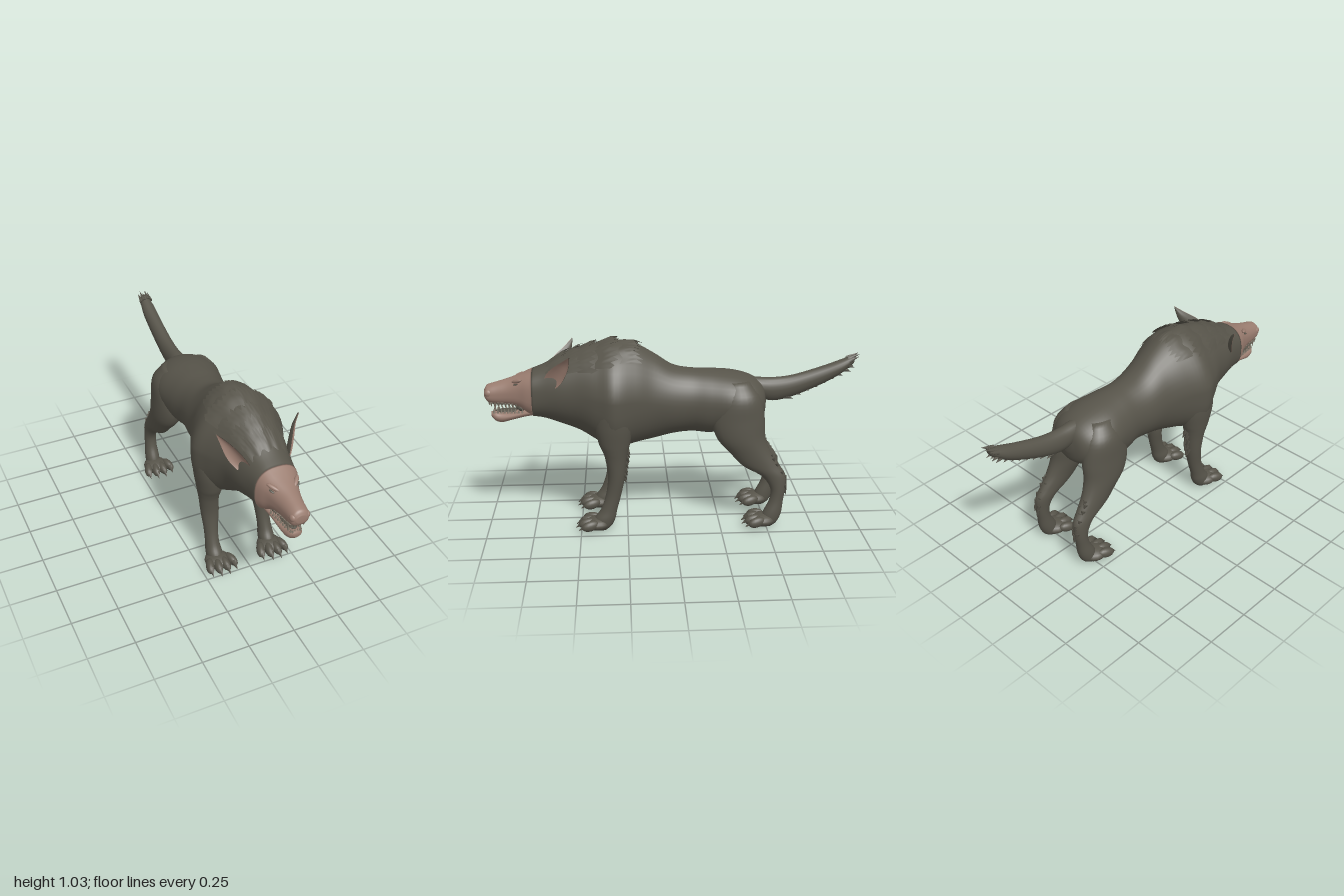
import * as THREE from 'three';

const V = (x, y, z) => new THREE.Vector3(x, y, z);
const mat = (name, color) => {
  const m = new THREE.MeshStandardMaterial({ color, side: THREE.DoubleSide });
  m.name = name;
  return m;
};

// Smooth station curves: rows are [t, centreX, centre, radiusX, radius, lower squareness, upper squareness]
function stations(rows) {
  const curve = (f) => new THREE.CatmullRomCurve3(rows.map(f), false, 'catmullrom', 0.5);
  const c = curve((r) => V(r[0], r[1], r[2]));
  const q = curve((r) => V(r[3], r[4], 0));
  const k = curve((r) => V(r[5] || 0, r[6] || 0, 0));
  return (u) => ({ c: c.getPoint(u), r: q.getPoint(u), k: k.getPoint(u) });
}

// Point of a rounded section at angle a, as [x, other axis]
function around({ c, r, k }, a, lift = 0) {
  const p = 1 - (Math.sin(a) < 0 ? k.x : k.y);
  const bend = (v) => Math.sign(v) * Math.pow(Math.abs(v), p);
  return [c.y + (Math.max(r.x, 0.001) + lift) * bend(Math.cos(a)), c.z + (Math.max(r.y, 0.001) + lift) * bend(Math.sin(a))];
}

// Closed tube of rounded sections stacked along 'z' or 'y'
function loft(axis, rows, sides = 28, sub = 5) {
  const at = stations(rows), n = (rows.length - 1) * sub, pos = [], idx = [];
  const put = (t, x, o) => (axis === 'z' ? pos.push(x, o, t) : pos.push(x, t, o));
  for (let i = 0; i <= n; i++) {
    const st = at(i / n);
    for (let j = 0; j < sides; j++) put(st.c.x, ...around(st, (j / sides) * Math.PI * 2));
  }
  for (const u of [0, 1]) { const { c } = at(u); put(c.x, c.y, c.z); }
  const end = (n + 1) * sides;
  for (let j = 0; j < sides; j++) {
    const k = (j + 1) % sides;
    for (let i = 0; i < n; i++) {
      const a = i * sides + j, b = i * sides + k;
      idx.push(a, b, a + sides, b, b + sides, a + sides);
    }
    idx.push(end, k, j, end + 1, n * sides + j, n * sides + k);
  }
  // turn the faces outward whatever the axis
  if (axis === 'y') idx.reverse();
  if (rows[0][0] > rows[rows.length - 1][0]) idx.reverse();
  return toGeometry(pos, idx);
}

function toGeometry(pos, idx) {
  const g = new THREE.BufferGeometry();
  g.setAttribute('position', new THREE.Float32BufferAttribute(pos, 3));
  g.setIndex(idx);
  g.computeVertexNormals();
  return g;
}

// Open sheet from f(i, j) -> Vector3
function sheet(ni, nj, f) {
  const pos = [], idx = [];
  for (let i = 0; i <= ni; i++) for (let j = 0; j <= nj; j++) pos.push(...f(i, j).toArray());
  for (let i = 0; i < ni; i++) for (let j = 0; j < nj; j++) {
    const a = i * (nj + 1) + j, b = a + nj + 1;
    idx.push(a, b, a + 1, a + 1, b, b + 1);
  }
  return toGeometry(pos, idx);
}

// [z, top, bottom, halfWidth, squareness...] -> station row
const span = ([z, top, bottom, w, ...sq]) => [z, 0, (top + bottom) / 2, w, (top - bottom) / 2, ...sq];

export function createModel() {
  const root = new THREE.Group();
  const fur = mat('darkFur', 0x57544a), skin = mat('bareSkin', 0x9a7d70), tooth = mat('teeth', 0x7d7467);
  const add = (name, geo, m) => {
    const mesh = new THREE.Mesh(geo, m);
    mesh.name = name;
    root.add(mesh);
    return mesh;
  };
  const spike = (name, p, dir, len, r, m) => {
    const d = dir.clone().normalize();
    const mesh = add(name, new THREE.ConeGeometry(r, len, 6), m);
    mesh.position.copy(p).addScaledVector(d, len / 2);
    mesh.quaternion.setFromUnitVectors(V(0, 1, 0), d);
  };
  const blob = (name, p, sx, sy, sz, m) => {
    const mesh = add(name, new THREE.SphereGeometry(1, 16, 12), m);
    mesh.position.copy(p);
    mesh.scale.set(sx, sy, sz);
    return mesh;
  };

  // Trunk, neck and skull
  const bodyRows = [
    [-0.5, 0.70, 0.64, 0.03], [-0.48, 0.765, 0.575, 0.11], [-0.42, 0.81, 0.54, 0.165], [-0.32, 0.838, 0.52, 0.187],
    [-0.2, 0.85, 0.505, 0.165, 0.1], [-0.1, 0.855, 0.51, 0.148], [0, 0.875, 0.50, 0.155], [0.1, 0.94, 0.475, 0.168, 0, -0.1],
    [0.2, 0.995, 0.46, 0.208, 0.15, -0.18], [0.31, 1.015, 0.445, 0.25, 0.3, -0.2], [0.4, 0.998, 0.478, 0.217, 0.2, -0.18],
    [0.5, 0.97, 0.53, 0.172, 0, -0.05], [0.6, 0.93, 0.57, 0.147], [0.68, 0.89, 0.60, 0.125, 0.1, 0.1], [0.745, 0.862, 0.613, 0.113, 0.2, 0.2],
  ].map(span);
  add('body', loft('z', bodyRows, 40), fur);

  // Mane: overlapping collars with ragged rear edges
  const bodyAt = stations(bodyRows);
  const onBody = (z, a, lift) => {
    let lo = 0, hi = 1;
    for (let k = 0; k < 24; k++) {
      const m = (lo + hi) / 2;
      if (bodyAt(m).c.x < z) lo = m; else hi = m;
    }
    return V(...around(bodyAt(lo), Math.PI / 2 - a, lift), z);
  };
  [[0.19, 0.75], [0.31, 0.85], [0.42, 0.95], [0.5, 0.95], [0.57, 0.75]].forEach(([zTip, half], row) => {
    const n = 32;
    add('maneCollar', sheet(n, 3, (i, j) => {
      const a = (i / n * 2 - 1) * half;
      const jag = i % 2 ? -0.014 - 0.012 * Math.abs(Math.sin(i * 2.3 + row)) : 0.01;
      const z = zTip + [0.1, 0.06, 0.03, jag][j] + 0.01 * Math.sin(i * 0.8 + row * 2);
      return onBody(z, a, [-0.004, 0.007, 0.012, 0.018][j] * (1 - 0.4 * Math.abs(a) / half));
    }), fur);
  });

  // Tail with ragged underside and tip
  add('tail', loft('z', [
    [-0.36, 0.80, 0.70, 0.035], [-0.45, 0.80, 0.69, 0.045], [-0.54, 0.797, 0.668, 0.043], [-0.65, 0.81, 0.692, 0.042],
    [-0.8, 0.853, 0.755, 0.04], [-0.9, 0.888, 0.81, 0.038], [-0.97, 0.914, 0.868, 0.025],
  ].map(span), 20), fur);
  for (let i = 0; i < 16; i++) {
    const t = i / 15;
    for (const s of [-1, 1])
      spike('tailTuft', V(s * 0.016, 0.695 + 0.155 * t + 0.01 * (i % 2), -0.6 - 0.33 * t), V(s * 0.1, -0.25, -1), 0.05, 0.014, fur);
  }
  for (let i = 0; i < 5; i++)
    spike('tailTip', V((i - 2) * 0.012, 0.885 + 0.008 * (i % 2), -0.94), V((i - 2) * 0.05, 0.5, -1), 0.06 + 0.008 * (i % 2), 0.015, fur);

  // Face, muzzle and lower jaw
  add('face', loft('z', [
    [0.742, 0.865, 0.612, 0.115, 0.2, 0.2], [0.775, 0.85, 0.637, 0.101, 0.3, 0.2], [0.815, 0.834, 0.664, 0.081, 0.3, 0.15],
    [0.87, 0.815, 0.676, 0.064, 0.3], [0.92, 0.80, 0.68, 0.055, 0.3], [0.965, 0.787, 0.687, 0.05, 0.3],
    [0.985, 0.778, 0.696, 0.044, 0.2], [0.997, 0.757, 0.716, 0.028],
  ].map(span), 36), skin);
  add('lowerJaw', loft('z', [
    [0.74, 0.67, 0.616, 0.072], [0.8, 0.652, 0.603, 0.059], [0.86, 0.638, 0.587, 0.051], [0.91, 0.634, 0.574, 0.044],
    [0.945, 0.637, 0.583, 0.036], [0.966, 0.632, 0.606, 0.018],
  ].map(span), 24), skin);
  blob('throat', V(0, 0.658, 0.8), 0.05, 0.024, 0.035, fur);
  blob('palate', V(0, 0.684, 0.89), 0.042, 0.008, 0.085, fur);
  blob('tongue', V(0, 0.638, 0.87), 0.032, 0.008, 0.075, fur);

  for (const s of [-1, 1]) {
    // Slanted brow ridge, narrow eye and nose wing
    const brow = blob('brow', V(s * 0.06, 0.813, 0.82), 0.036, 0.011, 0.012, skin);
    brow.rotation.set(0, s * 0.9, s * 0.3);
    const eye = blob('eye', V(s * 0.069, 0.797, 0.826), 0.016, 0.004, 0.007, fur);
    eye.rotation.set(0, s * 0.95, s * 0.3);
    blob('nostrilWing', V(s * 0.034, 0.742, 0.972), 0.018, 0.022, 0.022, skin);

    // Teeth along both jaws
    for (let i = 0; i < 9; i++) {
      const t = i / 8, z = 0.81 + 0.15 * t, big = i === 7 ? 1.7 : 1;
      spike('upperTooth', V(s * (0.06 - 0.022 * t), 0.69 + 0.005 * t, z), V(0, -1, 0), 0.028 * big, 0.008, tooth);
      spike('lowerTooth', V(s * (0.052 - 0.026 * t), 0.635 - 0.005 * t, z - 0.012), V(0, 1, 0), 0.023 * big, 0.007, tooth);
    }
    for (const x of [0.01, 0.026]) {
      spike('frontTooth', V(s * x, 0.703, 0.972), V(0, -1, 0), 0.03, 0.008, tooth);
      spike('lowerFrontTooth', V(s * x * 0.7, 0.622, 0.953), V(0, 1, 0), 0.026, 0.007, tooth);
    }

    // Ears: cupped leaves, bare inside and furred behind
    const earPath = new THREE.CatmullRomCurve3([V(0.122, 0.81, 0.645), V(0.144, 0.848, 0.62), V(0.165, 0.887, 0.592),
      V(0.189, 0.93, 0.56), V(0.22, 0.975, 0.537)]);
    const ear = (push) => sheet(14, 8, (i, j) => {
      const t = i / 14, k = j / 4 - 1;
      const w = 0.055 * Math.pow(Math.sin(Math.PI * (0.25 + 0.75 * t)), 0.9) * (1 - 0.35 * t) + 0.001;
      const p = earPath.getPoint(t).addScaledVector(V(0.54, -0.38, -0.75), k * w);
      p.addScaledVector(V(-0.72, -0.12, -0.68), (1 - k * k) * w * 0.4 + push * (1 - k * k * 0.6));
      p.x *= s;
      return p;
    });
    add('earInside', ear(0), skin);
    add('earBack', ear(0.006), fur);

    // Legs: rows are [y, x, z, radiusX, radiusZ]
    const leg = (name, rows) => add(name, loft('y', rows.map(([y, x, z, a, b]) => [y, s * x, z, a, b]).reverse(), 24), fur);
    leg('frontLeg', [
      [0.8, 0.12, 0.315, 0.04, 0.05], [0.7, 0.152, 0.315, 0.084, 0.085], [0.6, 0.157, 0.316, 0.082, 0.1],
      [0.5, 0.157, 0.315, 0.069, 0.084], [0.45, 0.156, 0.311, 0.062, 0.068], [0.4, 0.157, 0.308, 0.053, 0.056],
      [0.3, 0.151, 0.308, 0.049, 0.045], [0.2, 0.153, 0.325, 0.038, 0.041], [0.12, 0.156, 0.35, 0.037, 0.044],
      [0.07, 0.156, 0.372, 0.043, 0.056], [0.03, 0.156, 0.385, 0.04, 0.05], [0.005, 0.156, 0.39, 0.025, 0.028],
    ]);
    leg('hindLeg', [
      [0.8, 0.09, -0.34, 0.04, 0.06], [0.72, 0.108, -0.35, 0.08, 0.11], [0.6, 0.115, -0.345, 0.083, 0.14],
      [0.5, 0.126, -0.36, 0.074, 0.13], [0.42, 0.135, -0.41, 0.058, 0.11], [0.35, 0.14, -0.466, 0.047, 0.1],
      [0.29, 0.145, -0.535, 0.039, 0.066], [0.22, 0.15, -0.56, 0.034, 0.041], [0.15, 0.152, -0.553, 0.034, 0.038],
      [0.08, 0.154, -0.532, 0.04, 0.05], [0.03, 0.154, -0.515, 0.038, 0.046], [0.005, 0.154, -0.507, 0.024, 0.026],
    ]);

    // Paws with four long toes and hooked claws
    for (const [name, zo] of [['front', 0], ['hind', -0.895]]) {
      blob(name + 'Paw', V(s * 0.155, 0.04, 0.415 + zo), 0.068, 0.036, 0.068, fur);
      [[0.088, 0.447], [0.13, 0.464], [0.172, 0.466], [0.212, 0.45]].forEach(([x, z]) => {
        const out = (x - 0.15) * 5;
        const toe = blob(name + 'Toe', V(s * x, 0.045, z + zo), 0.023, 0.028, 0.048, fur);
        toe.rotation.set(0.2, s * out, 0);
        spike(name + 'Claw', V(s * (x + out * 0.008), 0.05, z + 0.022 + zo), V(s * out * 0.4, -0.65, 1), 0.052, 0.018, fur);
      });
    }

    // Ragged fur down the backs of the legs
    for (let i = 0; i < 14; i++) {
      const t = i / 13, dx = 0.014 * Math.sin(i * 2.4);
      spike('elbowTuft', V(s * (0.15 + dx), 0.46 - 0.16 * t, 0.25 + 0.022 * t), V(0, -1, -0.5), 0.04, 0.012, fur);
      spike('hockTuft', V(s * (0.148 + dx), 0.41 - 0.2 * t, -0.518 - 0.076 * Math.min(1, t * 1.6)), V(0, -1, -0.4), 0.036, 0.013, fur);
    }
  }
  return root;
}
